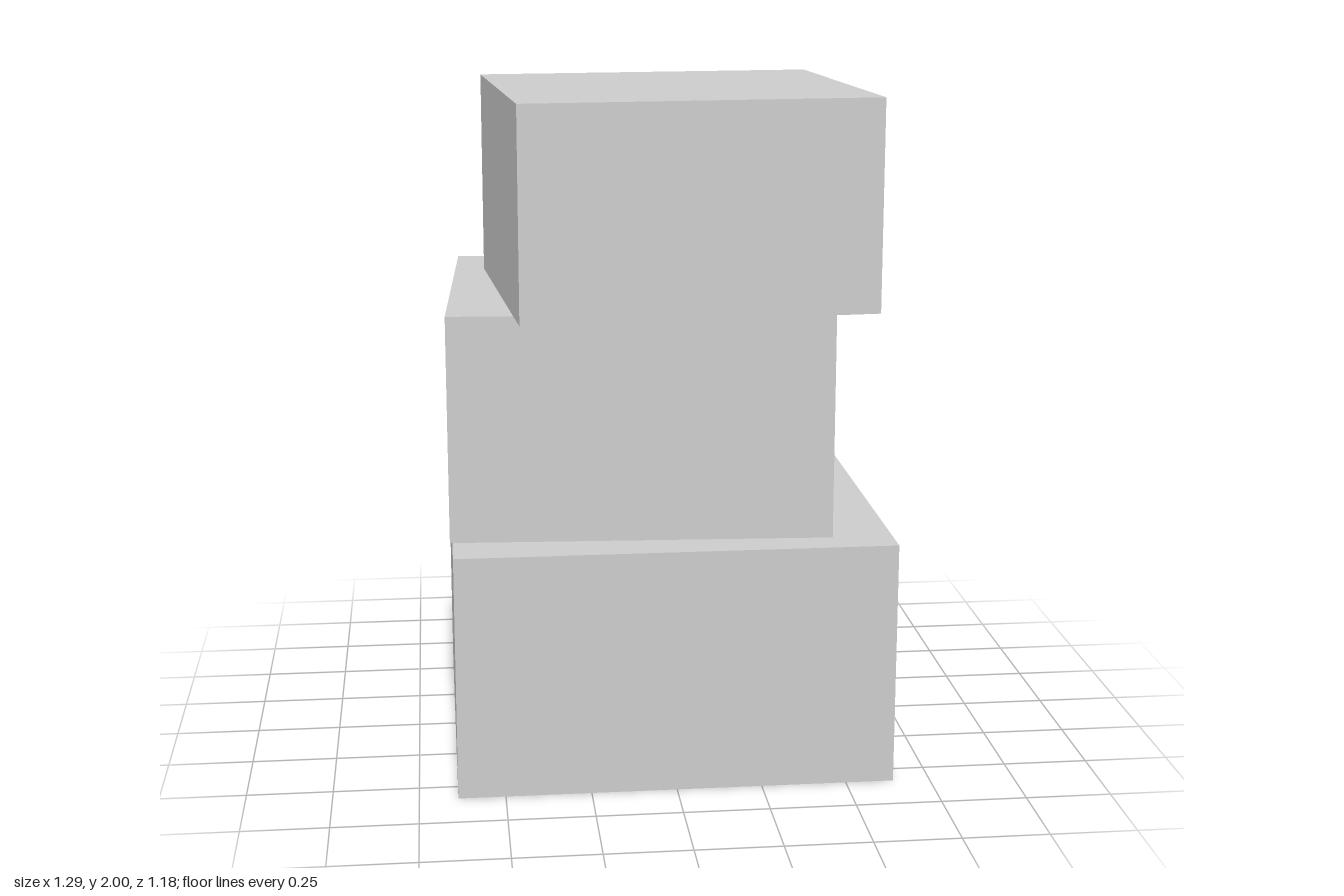
import * as THREE from 'three';

// Three stacked boxes, each twisted and shifted a little
const BOXES = [
  { name: 'bottomBox', size: [1.279, 0.725, 1.167], x: 0.002, z: 0.003, base: 0, turn: 0 },
  { name: 'middleBox', size: [1.111, 0.665, 1.027], x: -0.063, z: -0.053, base: 0.725, turn: -0.052 },
  { name: 'topBox', size: [1.031, 0.61, 0.943], x: 0.037, z: 0.08, base: 1.39, turn: 0.077 },
];

export function createModel() {
  const group = new THREE.Group();
  group.name = 'boxStack';
  const material = new THREE.MeshStandardMaterial({ color: 0xcccccc });

  for (const { name, size, x, z, base, turn } of BOXES) {
    const box = new THREE.Mesh(new THREE.BoxGeometry(...size), material);
    box.name = name;
    box.position.set(x, base + size[1] / 2, z);
    box.rotation.y = turn;
    group.add(box);
  }
  return group;
}
